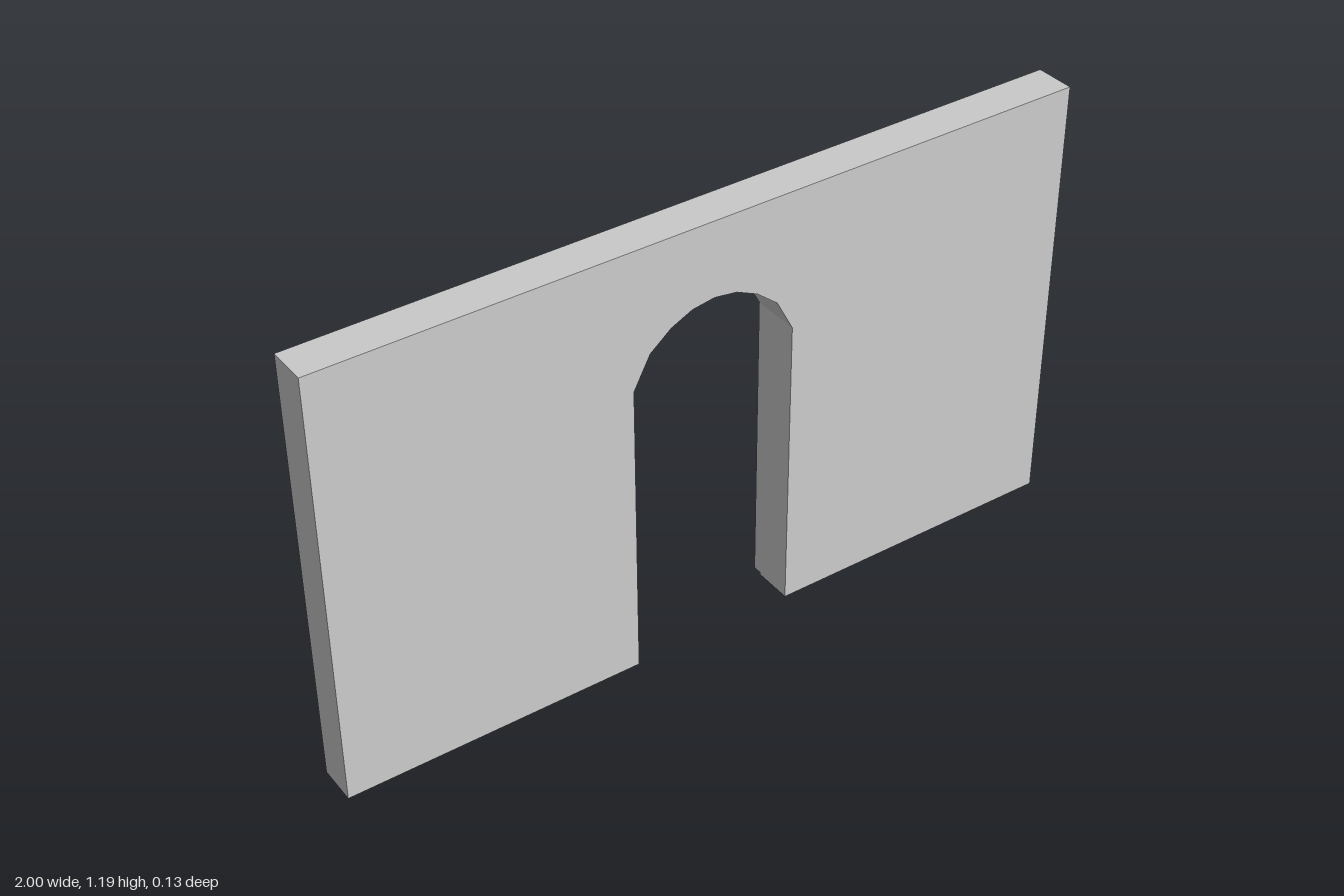
import * as THREE from 'three';

const FRONT = 0.065, BACK = -0.041, TRIM_BACK = -0.065;

// Right halves of the innermost and outermost arch lines, spring point to crown
const INNER = [[0.215, 0.816], [0.171, 0.902], [0.115, 0.949], [0.059, 0.976], [0, 0.985]];
const OUTER = [[0.375, 0.89], [0.31, 0.99], [0.215, 1.05], [0.11, 1.084], [0, 1.095]];

// Arch line from left foot over the crown to right foot; t blends inner to outer
function archLine(t, footY) {
  const half = INNER.map(([x, y], i) => new THREE.Vector2(
    THREE.MathUtils.lerp(x, OUTER[i][0], t),
    THREE.MathUtils.lerp(y, OUTER[i][1], t)));
  half.unshift(new THREE.Vector2(half[0].x, footY));
  const mirrored = half.slice(0, -1).reverse().map(p => new THREE.Vector2(-p.x, p.y));
  return [...half, ...mirrored];
}

function slab(points, z0, z1, material, name) {
  const geometry = new THREE.ExtrudeGeometry(new THREE.Shape(points), { depth: z1 - z0, bevelEnabled: false });
  geometry.translate(0, 0, z0);
  const mesh = new THREE.Mesh(geometry, material);
  mesh.name = name;
  return mesh;
}

export function createModel() {
  const group = new THREE.Group();
  group.name = 'archedWall';
  const material = new THREE.MeshStandardMaterial({ color: 0xcccccc, flatShading: true });

  // Wall with the doorway cut up from its foot
  const height = 1.186;
  const wall = slab([
    new THREE.Vector2(-1, 0), ...archLine(0, 0).reverse(),
    new THREE.Vector2(1, 0), new THREE.Vector2(1, height), new THREE.Vector2(-1, height),
  ], BACK, FRONT, material, 'wall');

  // Top and foot rise slightly toward the front
  const pos = wall.geometry.attributes.position;
  for (let i = 0; i < pos.count; i++) pos.setY(i, pos.getY(i) + 0.04 * (pos.getZ(i) - BACK));
  wall.geometry.computeVertexNormals();
  group.add(wall);

  // Two raised bands around the back of the doorway, with a recess between
  for (const [name, t0, t1] of [['innerArchBand', 0, 0.25], ['outerArchBand', 0.68, 1]]) {
    const foot = 0.006;
    group.add(slab([...archLine(t1, foot), ...archLine(t0, foot).reverse()], TRIM_BACK, BACK, material, name));
  }
  return group;
}
